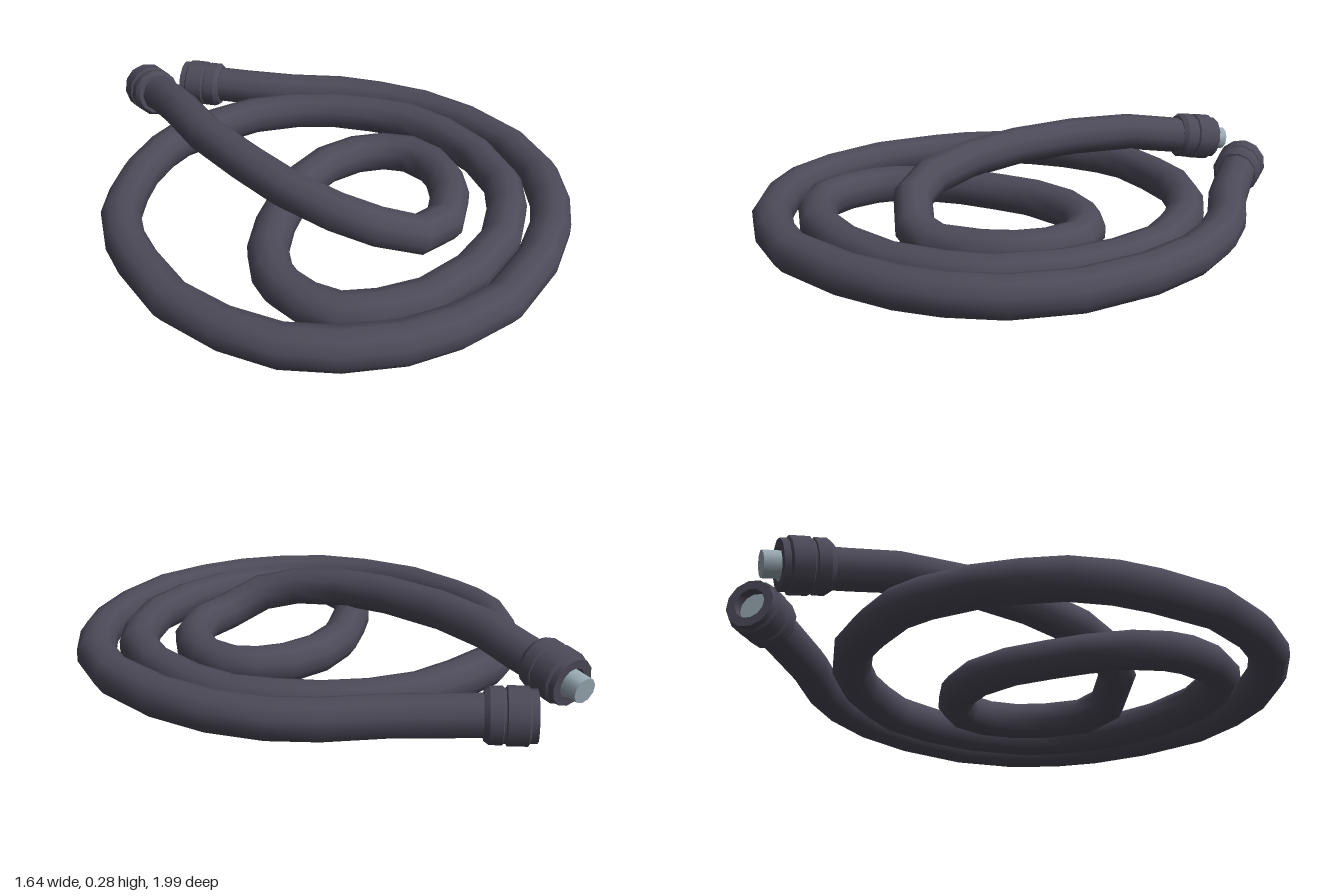
import * as THREE from 'three';

// Hose centre line from socket end to plug end, [x, z]
const PATH = [
  [-.08, -.86], [.03, -.78], [.19, -.67], [.365, -.577], [.49, -.475], [.61, -.33], [.7, -.14],
  // outer coil
  [.75, .105], [.725, .325], [.65, .49], [.56, .615], [.405, .755], [.185, .885], [-.01, .92],
  [-.18, .915], [-.36, .86], [-.51, .77], [-.63, .625], [-.725, .43], [-.755, .195], [-.755, .06],
  [-.725, -.085], [-.66, -.205], [-.575, -.325], [-.455, -.44], [-.36, -.5], [-.195, -.54],
  // second coil
  [-.03, -.56], [.14, -.525], [.285, -.455], [.405, -.355], [.5, -.255], [.565, -.095], [.595, .105],
  [.565, .325], [.49, .46], [.36, .61], [.18, .715], [-.02, .77], [-.175, .757], [-.29, .715],
  [-.355, .63], [-.39, .52], [-.39, .44], [-.355, .325], [-.27, .195], [-.18, .095],
  // inner loop
  [-.075, -.01], [.06, -.085], [.195, -.105], [.3, -.08], [.375, -.02], [.41, .085], [.4, .195],
  [.355, .305], [.255, .43],
  // strand crossing over the coils
  [.13, .47], [-.015, .445], [-.12, .355], [-.22, .185], [-.285, -.015], [-.34, -.265],
  [-.352, -.5], [-.355, -.66], [-.365, -.77],
];
const FLOOR_Y = .075;
const HEAD_Y = [.095, .09, .085, .08];
const TAIL_Y = [.085, .145, .178, .2, .212, .213, .208, .182, .162];

export function createModel() {
  const model = new THREE.Group();
  const rubber = new THREE.MeshStandardMaterial({ name: 'dark rubber', color: 0x4d4a59 });
  const metal = new THREE.MeshStandardMaterial({ name: 'pale metal', color: 0x9aabb5 });

  const add = (parent, name, geometry, material) => {
    const mesh = new THREE.Mesh(geometry, material);
    mesh.name = name;
    parent.add(mesh);
    return mesh;
  };

  // Hose: one ring of vertices at every path point
  const tailStart = PATH.length - TAIL_Y.length;
  const points = PATH.map(([x, z], i) =>
    new THREE.Vector3(x, HEAD_Y[i] ?? TAIL_Y[i - tailStart] ?? FLOOR_Y, z));
  const curve = new THREE.CatmullRomCurve3(points);
  curve.getPointAt = (t, target) => curve.getPoint(t, target);
  curve.getTangentAt = (t, target) => curve.getTangent(t, target);
  add(model, 'hose', new THREE.TubeGeometry(curve, points.length - 1, .07, 10), rubber);

  // Lathe with hard edges: each profile segment is its own band
  const turned = (parent, name, profile, material) => {
    const group = new THREE.Group();
    group.name = name;
    for (let i = 1; i < profile.length; i++) {
      const band = [profile[i - 1], profile[i]].map(([r, y]) => new THREE.Vector2(r, y));
      add(group, name + 'Band', new THREE.LatheGeometry(band, 12), material);
    }
    parent.add(group);
  };

  // Coupling collar: local +y points out of the hose, rim at y = 0
  const coupling = (name, rim, direction) => {
    const group = new THREE.Group();
    group.name = name;
    group.position.set(...rim);
    group.quaternion.setFromUnitVectors(
      new THREE.Vector3(0, 1, 0), new THREE.Vector3(...direction).normalize());
    turned(group, 'collar', [
      [.06, -.162], [.078, -.162], [.09, -.145], [.09, -.105], [.085, -.102], [.085, -.096],
      [.092, -.092], [.092, -.028], [.083, -.022], [.083, 0], [.052, 0], [.052, -.06],
    ], rubber);
    model.add(group);
    return group;
  };

  // Socket end with a recessed metal seat
  const socket = coupling('socketCoupling', [-.183, .095, -.937], [-.78, .02, -.62]);
  add(socket, 'socketSeat', new THREE.CylinderGeometry(.053, .053, .02, 12), metal).position.y = -.045;

  // Plug end with a protruding metal pin
  const plug = coupling('plugCoupling', [-.373, .143, -.885], [-.03, -.17, -1]);
  add(plug, 'plugPin', new THREE.CylinderGeometry(.044, .044, .11, 10), metal).position.y = -.002;
  add(plug, 'plugBase', new THREE.CylinderGeometry(.053, .053, .02, 12), rubber).position.y = -.045;

  return model;
}
